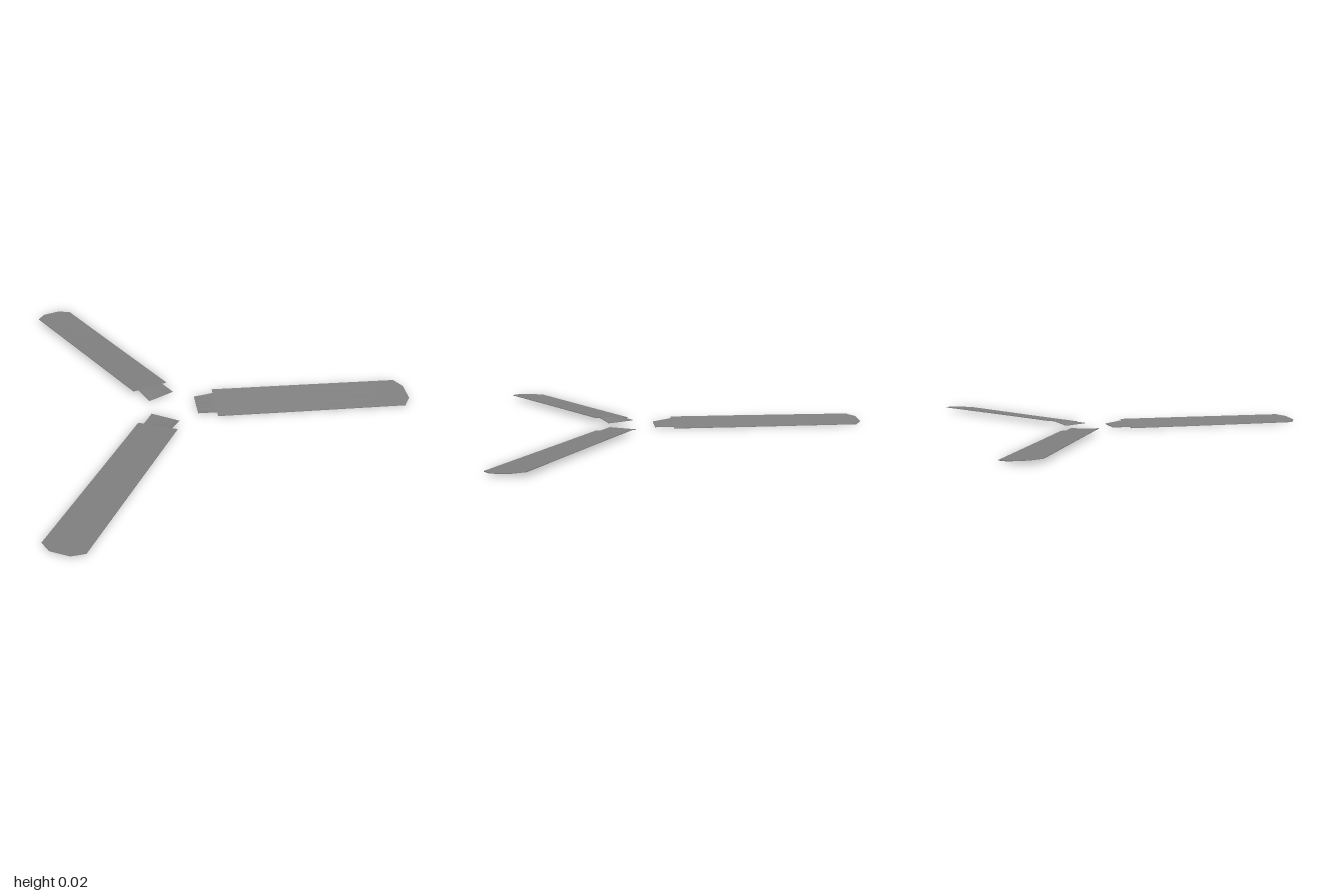
import * as THREE from 'three';

const THICK = 0.003, SEG = 4;

// Stations along the blade: radius, half width, height of the middle, pitch slope
const STATIONS = [
  [0.105, 0.07, 0.003, 0],
  [0.195, 0.07, 0.0105, 0.108],
  [0.195, 0.098, 0.0105, 0.108], // square shoulder
  [0.52, 0.098, 0.0105, 0.105],
  [1.096, 0.098, 0.0105, 0.085],
  [1.13, 0.046, 0.0105, 0.085], // clipped tip
];

// Thin pitched blade along +x, lofted through closed rings
function bladeGeometry() {
  const pos = [], index = [], n = 2 * (SEG + 1);
  for (const [r, w, mid, slope] of STATIONS) {
    const row = (lat, lift) => pos.push(r, mid - slope * lat + lift, lat);
    for (let i = 0; i <= SEG; i++) row(-w + (2 * w * i) / SEG, THICK);
    for (let i = SEG; i >= 0; i--) row(-w + (2 * w * i) / SEG, 0);
  }
  for (let s = 0; s < STATIONS.length - 1; s++) {
    for (let i = 0; i < n; i++) {
      const j = (i + 1) % n;
      const a = s * n + i, b = s * n + j, c = b + n, d = a + n;
      index.push(a, b, c, a, c, d);
    }
  }
  // Root and tip caps
  const end = (STATIONS.length - 1) * n;
  for (let i = 0; i < SEG; i++) {
    const a = i, b = i + 1, c = n - 2 - i, d = n - 1 - i;
    index.push(a, c, b, a, d, c);
    index.push(end + a, end + b, end + c, end + a, end + c, end + d);
  }
  const g = new THREE.BufferGeometry();
  g.setAttribute('position', new THREE.Float32BufferAttribute(pos, 3));
  g.setIndex(index);
  const flat = g.toNonIndexed();
  flat.computeVertexNormals();
  return flat;
}

export function createModel() {
  const group = new THREE.Group();
  group.name = 'fanBlades';
  const grey = new THREE.MeshStandardMaterial({ color: 0x808080 });
  grey.name = 'bladeGrey';
  const geometry = bladeGeometry();

  // Three blades around the open hub centre
  const names = ['rightBlade', 'frontLeftBlade', 'backLeftBlade'];
  names.forEach((name, i) => {
    const blade = new THREE.Mesh(geometry, grey);
    blade.name = name;
    blade.position.x = 0.243;
    blade.rotation.y = Math.PI + (i * 2 * Math.PI) / 3;
    group.add(blade);
  });
  return group;
}
